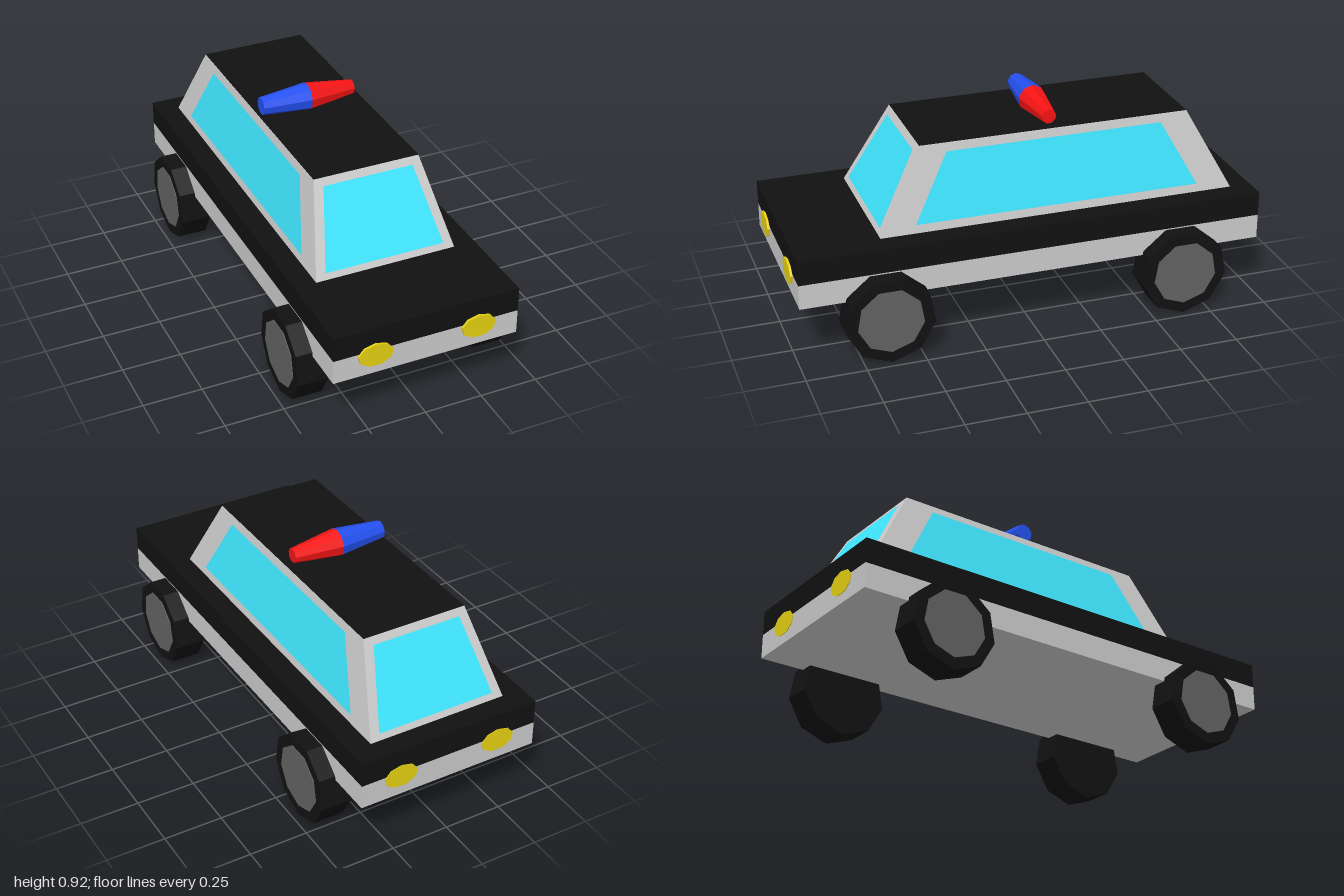
import * as THREE from 'three';

const mat = (color) => new THREE.MeshStandardMaterial({ color, flatShading: true });

export function createModel() {
  const car = new THREE.Group();
  car.name = 'patrolCar';
  const grey = mat(0xcccccc), black = mat(0x111111), glass = mat(0x3fe6ff);
  const hubGrey = mat(0x626262), yellow = mat(0xe6d111), red = mat(0xf51414), blue = mat(0x2450f0);

  const add = (name, geometry, material, x = 0, y = 0, z = 0) => {
    const mesh = new THREE.Mesh(geometry, material);
    mesh.name = name;
    mesh.position.set(x, y, z);
    car.add(mesh);
    return mesh;
  };

  // Four corners, counter-clockwise seen from outside
  const quad = (corners) => {
    const g = new THREE.BufferGeometry();
    g.setAttribute('position', new THREE.Float32BufferAttribute(corners.flat(), 3));
    g.setIndex([0, 1, 2, 0, 2, 3]);
    g.computeVertexNormals();
    return g;
  };

  // Nine-sided cylinder along z, one corner pointing up (or down)
  const nonagon = (rTop, rBottom, length, cornerUp) =>
    new THREE.CylinderGeometry(rTop, rBottom, length, 9).rotateX(cornerUp ? -Math.PI / 2 : Math.PI / 2);

  // Body: grey sill below, black shell above
  add('lowerBody', new THREE.BoxGeometry(0.796, 0.105, 1.987), grey, 0, 0.3175, -0.0035);
  add('upperBody', new THREE.BoxGeometry(0.796, 0.105, 1.987), black, 0, 0.4225, -0.0035);

  // Cabin: walls lean inwards from the base to the roof
  const base = 0.475, top = 0.82;
  const at = (y) => (y - base) / (top - base);
  const wallX = (y) => 0.305 - 0.075 * at(y);
  const frontZ = (y) => 0.63 - 0.19 * at(y);
  const backZ = (y) => -0.905 + 0.185 * at(y);
  const cabin = new THREE.BoxGeometry(1, 1, 1);
  const p = cabin.attributes.position;
  for (let i = 0; i < p.count; i++) {
    const y = p.getY(i) > 0 ? top : base;
    p.setXYZ(i, Math.sign(p.getX(i)) * wallX(y), y, p.getZ(i) > 0 ? frontZ(y) : backZ(y));
  }
  add('cabin', cabin, grey);

  // Roof skin
  const rx = wallX(top), rf = frontZ(top), rb = backZ(top), ry = top + 0.002;
  add('roof', quad([[-rx, ry, rf], [rx, ry, rf], [rx, ry, rb], [-rx, ry, rb]]), black);

  // Windows, just proud of the cabin walls
  const gap = 0.003;
  const screen = [[-0.26, 0.5], [0.26, 0.5], [0.195, 0.793], [-0.195, 0.793]];
  add('windscreen', quad(screen.map(([x, y]) => [x, y, frontZ(y) + gap])), glass);
  add('rearWindow', quad(screen.map(([x, y]) => [-x, y, backZ(y) - gap])), glass);
  const side = [[0.48, 0.51], [-0.75, 0.51], [-0.6, 0.787], [0.33, 0.787]];
  add('leftWindow', quad(side.map(([z, y]) => [wallX(y) + gap, y, z])), glass);
  add('rightWindow', quad(side.map(([z, y]) => [-wallX(y) - gap, y, z]).reverse()), glass);

  // Wheels with hubcaps, and a pair of lamps at each end
  const tyre = nonagon(0.188, 0.188, 0.13, false).rotateY(Math.PI / 2);
  const hub = nonagon(0.14, 0.14, 0.01, false).rotateY(Math.PI / 2);
  const lamp = nonagon(0.0505, 0.0505, 0.02, true).scale(1.49, 1, 1);
  for (const s of [1, -1]) {
    const sideName = s > 0 ? 'left' : 'right';
    for (const e of [1, -1]) {
      const endName = e > 0 ? 'Front' : 'Rear';
      add(`${sideName}${endName}Wheel`, tyre, black, s * 0.404, 0.188, e * 0.637);
      add(`${sideName}${endName}Hubcap`, hub, hubGrey, s * 0.467, 0.188, e * 0.637);
      add(`${sideName}${endName}Lamp`, lamp, yellow, s * 0.222, 0.3535, e * 0.99);
    }
  }

  // Roof light bar: two tapered halves meeting near the middle
  add('blueBeacon', nonagon(0.038, 0.06, 0.208, true).rotateY(Math.PI / 2), blue, -0.111, 0.861, -0.12);
  add('redBeacon', nonagon(0.06, 0.031, 0.207, true).rotateY(Math.PI / 2), red, 0.0965, 0.861, -0.12);

  return car;
}
